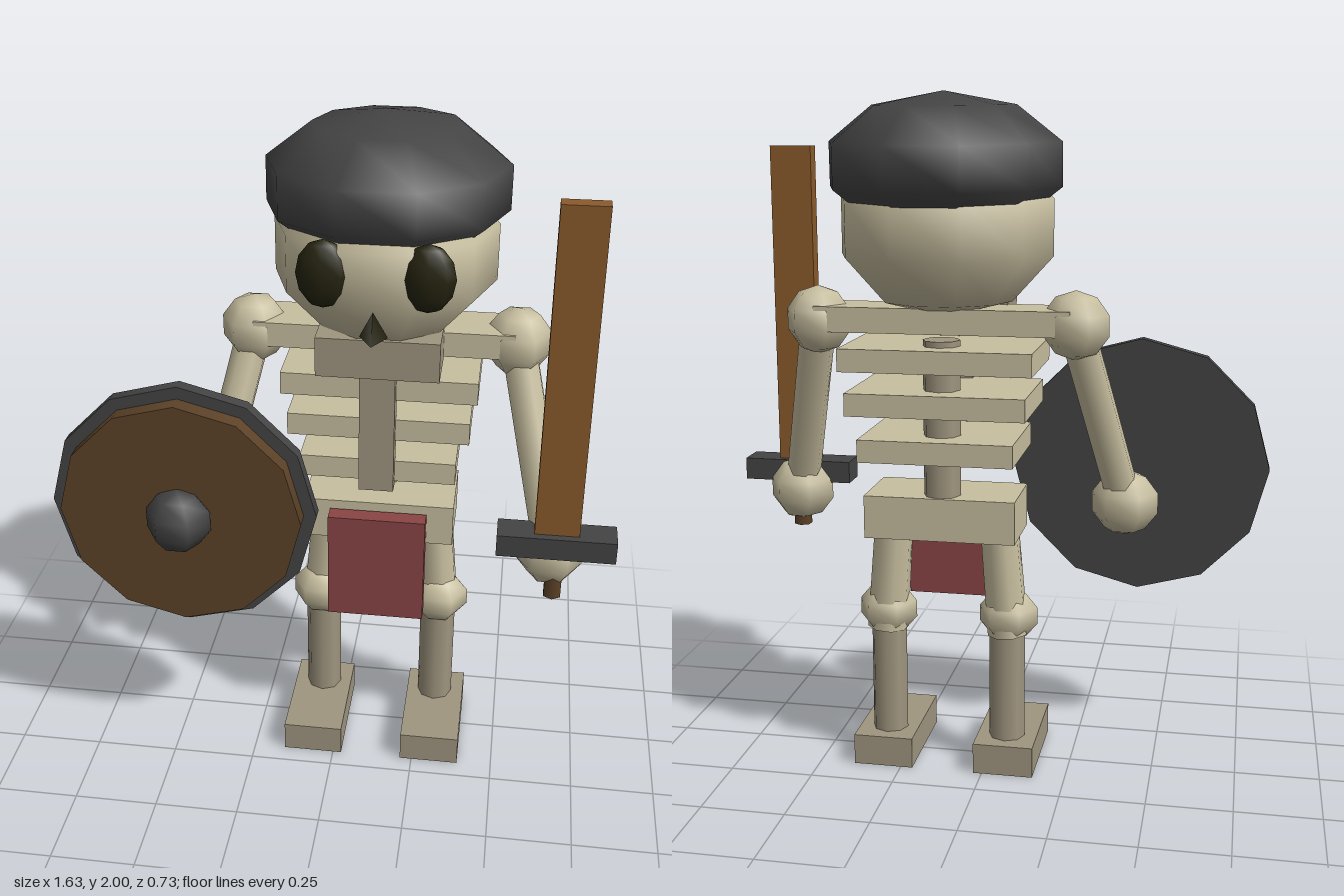
import * as THREE from 'three';

export function createModel() {
  const model = new THREE.Group();
  const CX = 0.12; // body axis
  const mat = (name, color) => {
    const m = new THREE.MeshStandardMaterial({ color });
    m.name = name;
    return m;
  };
  const bone = mat('bone', 0xc8bfa0);
  const oldBone = mat('old bone', 0xa09680);
  const iron = mat('dark iron', 0x444444);
  const wood = mat('sword wood', 0x8b5a2b);
  const shieldWood = mat('shield wood', 0x5c4228);
  const cloth = mat('red cloth', 0x8b4545);
  const hollow = mat('dark hollow', 0x25230f);

  const add = (name, geo, material, x, y, z) => {
    const mesh = new THREE.Mesh(geo, material);
    mesh.name = name;
    mesh.position.set(x, y, z);
    model.add(mesh);
    return mesh;
  };
  // box given by centre x, width, and y and z ranges
  const box = (name, material, x, w, y0, y1, z0, z1) =>
    add(name, new THREE.BoxGeometry(w, y1 - y0, z1 - z0), material, x, (y0 + y1) / 2, (z0 + z1) / 2);
  const ball = (name, material, x, y, z, rx, ry, rz, ws = 6, hs = 5) =>
    add(name, new THREE.SphereGeometry(1, ws, hs).scale(rx, ry, rz), material, x, y, z);
  // tapered rod between two points
  const rod = (name, material, a, b, ra, rb, sides = 8) => {
    const from = new THREE.Vector3(...a), to = new THREE.Vector3(...b);
    const dir = to.clone().sub(from);
    const mesh = add(name, new THREE.CylinderGeometry(rb, ra, dir.length(), sides), material,
      ...from.clone().add(to).multiplyScalar(0.5).toArray());
    mesh.quaternion.setFromUnitVectors(new THREE.Vector3(0, 1, 0), dir.normalize());
    return mesh;
  };

  // head
  ball('skull', bone, CX, 1.625, -0.035, 0.326, 0.26, 0.307, 10, 5);
  ball('helmet', iron, CX, 1.8, -0.057, 0.353, 0.2, 0.353 * 0.955, 10, 5).rotation.x = -0.03;
  add('nose', new THREE.ConeGeometry(0.044, 0.08, 3), hollow, CX, 1.52, 0.275);
  box('jaw', oldBone, CX, 0.344, 1.31, 1.425, 0, 0.157);

  // torso
  box('collarBar', bone, CX, 0.74, 1.327, 1.4, -0.14, 0.02);
  box('sternum', oldBone, CX, 0.1, 0.95, 1.31, 0.087, 0.146);
  rod('spine', oldBone, [CX, 0.8, -0.11], [CX, 1.31, -0.11], 0.055, 0.055);
  [[1.26, 0.556], [1.133, 0.52], [1.0, 0.45]].forEach(([y, w], i) =>
    box('rib' + (i + 1), bone, CX, w, y - 0.033, y + 0.033, -0.225, 0.114));
  box('pelvis', bone, CX, 0.445, 0.728, 0.855, -0.17, 0.06);
  box('loincloth', cloth, CX, 0.288, 0.49, 0.83, 0.066, 0.118);

  // paired parts
  for (const s of [-1, 1]) {
    const side = s > 0 ? 'left' : 'right';
    const X = (d) => CX + s * d;
    ball(side + 'Eye', hollow, X(0.138), 1.64, 0.225, 0.073, 0.095, 0.043, 8, 6);
    ball(side + 'Shoulder', bone, X(0.378), 1.353, -0.06, 0.1, 0.1, 0.1);
    rod(side + 'Arm', bone, [X(0.378), 1.353, -0.06], [X(0.51), 0.79, 0.14], 0.052, 0.052);
    ball(side + 'Hand', bone, X(0.51), 0.79, 0.14, 0.105, 0.1, 0.1);
    rod(side + 'Thigh', bone, [X(0.16), 0.75, -0.06], [X(0.185), 0.42, -0.055], 0.058, 0.062);
    ball(side + 'Knee', bone, X(0.185), 0.475, -0.043, 0.092, 0.08, 0.09);
    rod(side + 'Shin', oldBone, [X(0.182), 0.08, -0.053], [X(0.182), 0.47, -0.053], 0.054, 0.054);
    box(side + 'Foot', oldBone, X(0.184), 0.18, 0, 0.093, -0.146, 0.193);
  }

  // sword in the left hand
  const SX = 0.643;
  box('swordBlade', wood, SX, 0.127, 0.877, 1.847, 0.155, 0.202);
  box('swordGuard', iron, SX, 0.338, 0.81, 0.877, 0.132, 0.226);
  rod('swordGrip', shieldWood, [SX, 0.66, 0.177], [SX, 0.83, 0.177], 0.028, 0.028, 6);

  // shield on the right hand
  const disc = (name, material, r, z0, z1) => {
    const geo = new THREE.CylinderGeometry(r, r, z1 - z0, 12).rotateX(Math.PI / 2);
    add(name, geo, material, -0.429, 0.895, (z0 + z1) / 2);
  };
  disc('shieldRim', iron, 0.389, 0.187, 0.226);
  disc('shieldFace', shieldWood, 0.352, 0.22, 0.277);
  ball('shieldBoss', iron, -0.429, 0.895, 0.29, 0.098, 0.095, 0.098);

  return model;
}
